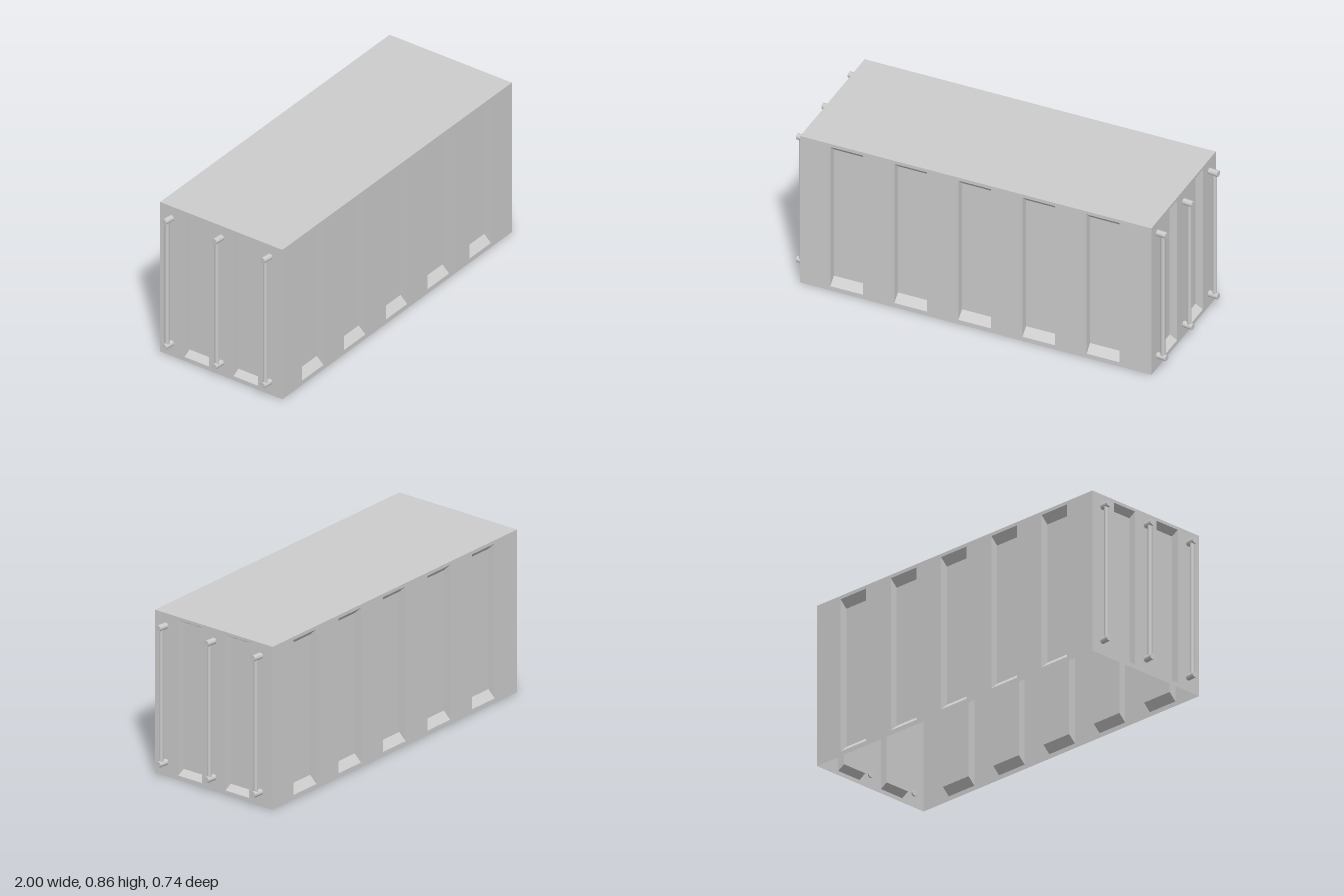
import * as THREE from 'three';

const L = 0.947, W = 0.37, H = 0.863; // half length, half width, height
const DEPTH = 0.04;

const shellMat = new THREE.MeshStandardMaterial({ color: 0xcccccc, flatShading: true, side: THREE.DoubleSide });
const barMat = new THREE.MeshStandardMaterial({ color: 0xcccccc });

function add(parent, name, geometry, material) {
  const mesh = new THREE.Mesh(geometry, material);
  mesh.name = name;
  parent.add(mesh);
  return mesh;
}

// Recessed pocket: straight sides, sloped top and bottom, flat back
function pocketGeometry(w, y0, y1, slope) {
  const x = w / 2, d = -DEPTH;
  const o = [[-x, y0, 0], [x, y0, 0], [x, y1, 0], [-x, y1, 0]];
  const i = [[-x, y0 + slope, d], [x, y0 + slope, d], [x, y1 - slope, d], [-x, y1 - slope, d]];
  const pos = [];
  const quad = (a, b, c, e) => pos.push(...a, ...b, ...c, ...a, ...c, ...e);
  quad(...i);
  for (let k = 0; k < 4; k++) {
    const n = (k + 1) % 4;
    quad(o[k], o[n], i[n], i[k]);
  }
  const g = new THREE.BufferGeometry();
  g.setAttribute('position', new THREE.Float32BufferAttribute(pos, 3));
  g.computeVertexNormals();
  return g;
}

// Wall facing +z with a row of pockets
function makeWall(name, half, centres, w, y0, y1, slope) {
  const wall = new THREE.Group();
  wall.name = name;
  const shape = new THREE.Shape([[-half, 0], [half, 0], [half, H], [-half, H]].map(p => new THREE.Vector2(...p)));
  for (const c of centres) {
    const a = c - w / 2, b = c + w / 2;
    shape.holes.push(new THREE.Path([[a, y0], [a, y1], [b, y1], [b, y0]].map(p => new THREE.Vector2(...p))));
    add(wall, 'recess', pocketGeometry(w, y0, y1, slope), shellMat).position.x = c;
  }
  add(wall, 'wallPanel', new THREE.ShapeGeometry(shape), shellMat);
  return wall;
}

// Cylinder between two points
function rod(parent, name, a, b, r, sides) {
  const p = new THREE.Vector3(...a), q = new THREE.Vector3(...b);
  const dir = q.clone().sub(p);
  const m = add(parent, name, new THREE.CylinderGeometry(r, r, dir.length(), sides), barMat);
  m.position.copy(p).add(q).multiplyScalar(0.5);
  m.quaternion.setFromUnitVectors(new THREE.Vector3(0, 1, 0), dir.normalize());
}

// One long side and one end with its three locking bars
function makeHalf(name) {
  const half = new THREE.Group();
  half.name = name;

  const side = makeWall('longWall', L, [-2, -1, 0, 1, 2].map(i => i * 0.3455 - 0.005), 0.176, 0.025, 0.845, 0.038);
  side.position.z = W;
  half.add(side);

  const end = makeWall('endWall', W, [-0.148, 0.148], 0.148, 0.023, 0.847, 0.023);
  end.rotation.y = Math.PI / 2;
  end.position.x = L;
  half.add(end);

  for (const z of [0.307, 0.005, -0.288]) {
    rod(half, 'lockingBar', [0.979, 0.075, z - 0.002], [0.979, 0.797, z - 0.002], 0.0115, 12);
    for (const y of [0.075, 0.797]) {
      rod(half, 'barBracket', [0.938, y, z - 0.007], [1, y, z], 0.0165, 10);
    }
  }
  return half;
}

export function createModel() {
  const model = new THREE.Group();
  model.name = 'cargoContainer';

  model.add(makeHalf('frontHalf'));
  const back = makeHalf('backHalf');
  back.rotation.y = Math.PI;
  model.add(back);

  // Flat roof; the underside stays open
  const roof = add(model, 'roof', new THREE.PlaneGeometry(2 * L, 2 * W), shellMat);
  roof.rotation.x = -Math.PI / 2;
  roof.position.y = H;
  return model;
}
